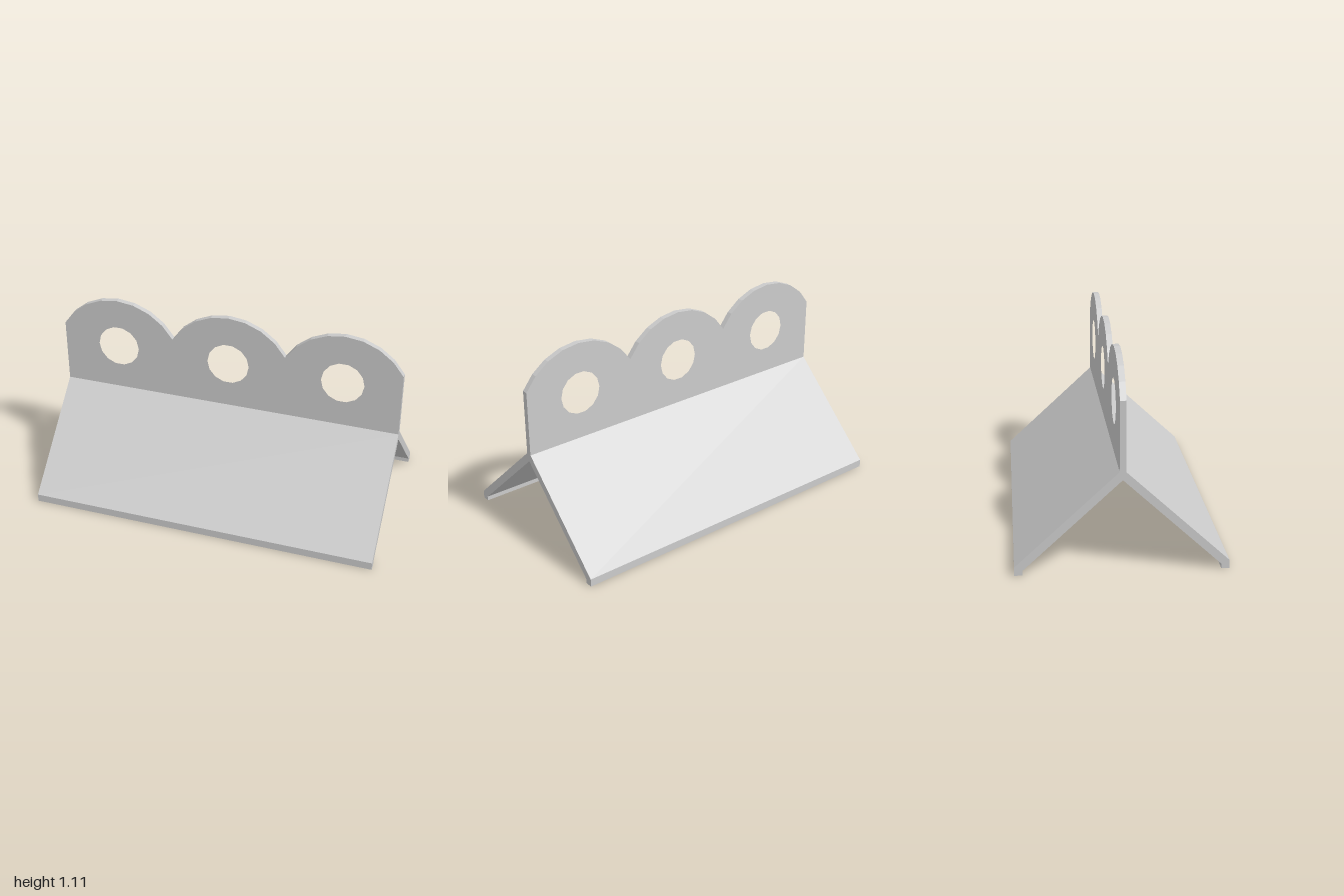
import * as THREE from 'three';

const T = 0.0165; // half thickness of the upright plate
const SHOULDER = 0.545; // height where the legs meet the plate

export function createModel() {
  const group = new THREE.Group();
  group.name = 'bracket';
  const material = new THREE.MeshStandardMaterial({ color: 0xcccccc, flatShading: true });
  const add = (name, geometry) => {
    const mesh = new THREE.Mesh(geometry, material);
    mesh.name = name;
    group.add(mesh);
    return mesh;
  };

  // Splayed legs with small vertical feet: one mirrored section run along x
  const half = [[T, SHOULDER], [0.555, 0.045], [0.555, 0], [0.513, 0], [0.513, 0.025]];
  const mirrored = half.map(([z, y]) => [-z, y]).reverse();
  const section = [...half, [0, 0.502], ...mirrored].map(([z, y]) => new THREE.Vector2(z, y));
  const legs = new THREE.ExtrudeGeometry(new THREE.Shape(section), { depth: 2, bevelEnabled: false });
  legs.translate(0, 0, -1).rotateY(Math.PI / 2);
  add('legs', legs);

  // Upright plate with three scalloped lobes, each with a round hole
  const plate = new THREE.Shape();
  plate.moveTo(-1, SHOULDER);
  const radius = 1 / 3 / Math.sin(Math.PI / 3);
  const arcY = 1.11 - radius;
  for (const cx of [-2 / 3, 0, 2 / 3]) {
    for (let i = 0; i <= 8; i++) {
      if (cx > -0.5 && i === 0) continue; // valley point is shared
      const a = ((i - 4) * Math.PI) / 12;
      plate.lineTo(cx + radius * Math.sin(a), arcY + radius * Math.cos(a));
    }
    const rim = [];
    for (let i = 0; i < 14; i++) {
      const a = -Math.PI / 2 - ((i + 0.5) * Math.PI) / 7;
      rim.push(new THREE.Vector2(cx + 0.123 * Math.cos(a), 0.817 + 0.123 * Math.sin(a)));
    }
    plate.holes.push(new THREE.Path(rim));
  }
  plate.lineTo(1, SHOULDER);
  plate.closePath();
  const plateGeometry = new THREE.ExtrudeGeometry(plate, { depth: 2 * T, bevelEnabled: false });
  plateGeometry.translate(0, 0, -T);
  add('scallopedPlate', plateGeometry);

  return group;
}
